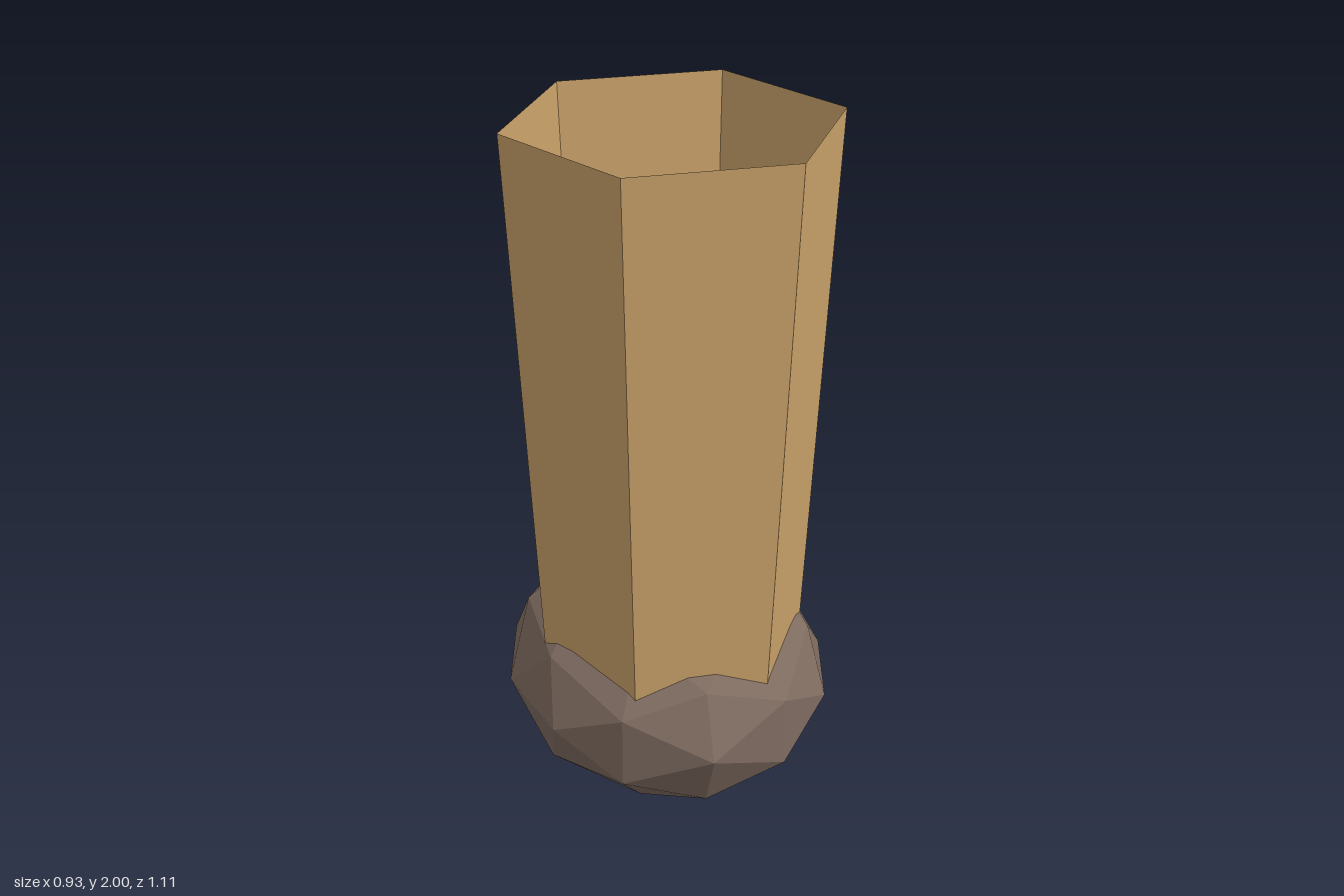
import * as THREE from 'three';

// Separate the faces so that every facet gets its own flat normal
function faceted(geometry) {
  const flat = geometry.index ? geometry.toNonIndexed() : geometry;
  flat.computeVertexNormals();
  return flat;
}

function addPart(group, name, geometry, material) {
  const mesh = new THREE.Mesh(faceted(geometry), material);
  mesh.name = name;
  group.add(mesh);
}

export function createModel() {
  const model = new THREE.Group();
  model.name = 'legAndFoot';

  const tan = new THREE.MeshStandardMaterial({ color: 0xcaa26a, side: THREE.DoubleSide });
  tan.name = 'tan';
  const greyBrown = new THREE.MeshStandardMaterial({ color: 0x7e6b60 });
  greyBrown.name = 'greyBrown';

  // Foot: a faceted ball, flattened and stretched from front to back
  const foot = new THREE.IcosahedronGeometry(1, 1)
    .scale(0.463, 0.325, 0.556)
    .translate(0, 0.327, 0);
  addPart(model, 'foot', foot, greyBrown);

  // Leg: an open six-sided tube, widening upward, with corners on the x axis
  const bottom = 0.4, top = 2;
  const leg = new THREE.CylinderGeometry(0.463, 0.37, top - bottom, 6, 1, true)
    .rotateY(Math.PI / 6)
    .translate(0, (top + bottom) / 2, 0.0925);
  addPart(model, 'leg', leg, tan);

  return model;
}
